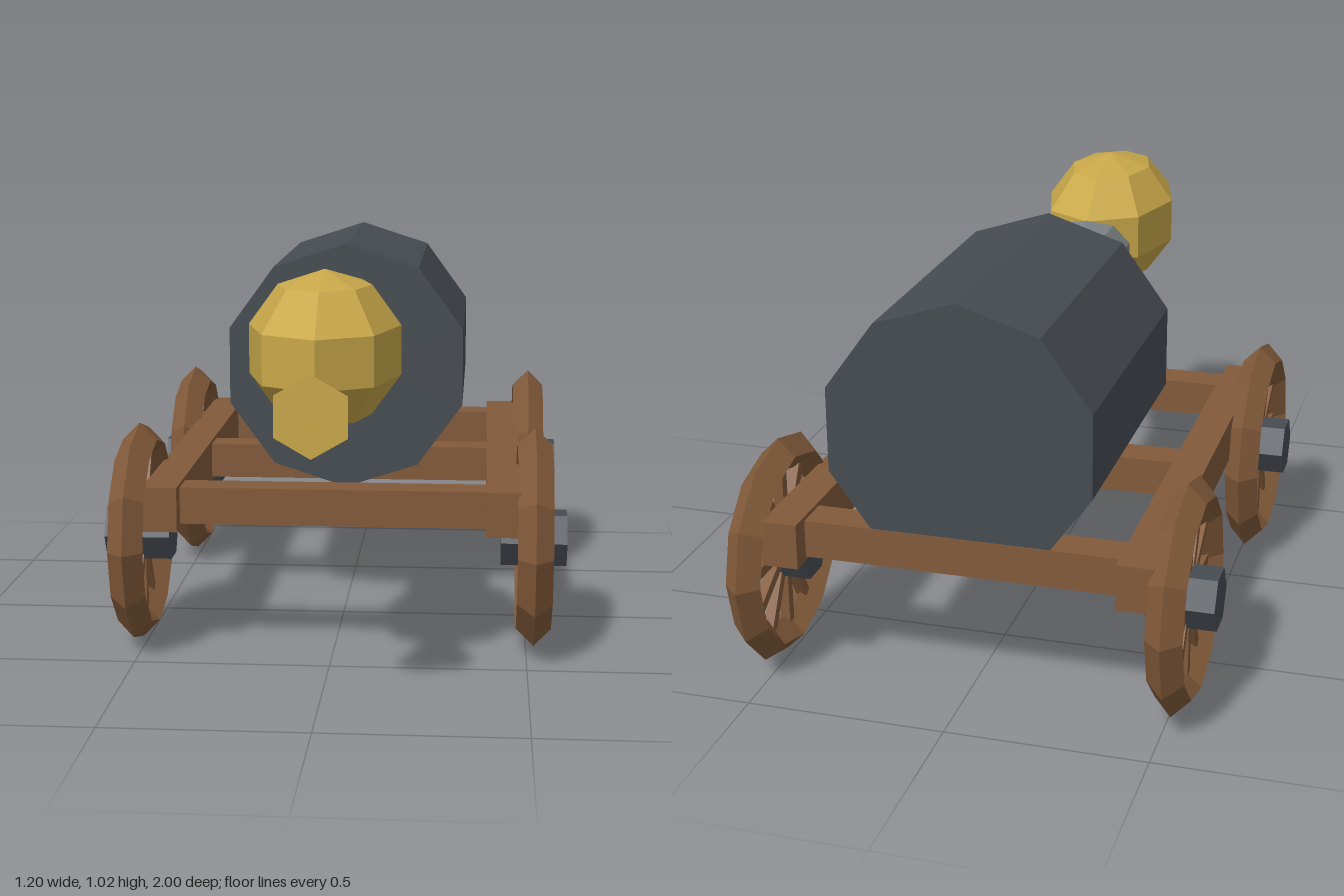
import * as THREE from 'three';

const wood = new THREE.MeshStandardMaterial({ color: 0x825a3a });
wood.name = 'brown wood';
const iron = new THREE.MeshStandardMaterial({ color: 0x464c52 });
iron.name = 'dark iron';
const steel = new THREE.MeshStandardMaterial({ color: 0x7f8488 });
steel.name = 'grey steel';
const brass = new THREE.MeshStandardMaterial({ color: 0xc9a84a });
brass.name = 'golden brass';

// Adds a faceted mesh
function part(parent, name, geometry, material, x = 0, y = 0, z = 0) {
  const flat = geometry.index ? geometry.toNonIndexed() : geometry;
  flat.computeVertexNormals();
  const mesh = new THREE.Mesh(flat, material);
  mesh.name = name;
  mesh.position.set(x, y, z);
  parent.add(mesh);
  return mesh;
}

// Tapered prism lying along z
function prismZ(rFront, rBack, zBack, zFront, sides) {
  return new THREE.CylinderGeometry(rFront, rBack, zFront - zBack, sides)
    .rotateX(Math.PI / 2)
    .translate(0, 0, (zFront + zBack) / 2);
}

function makeWheel() {
  const wheel = new THREE.Group();
  // Rim with a diamond cross-section
  part(wheel, 'rim', new THREE.TorusGeometry(0.245, 0.045, 4, 12).rotateY(Math.PI / 2), wood);
  // Spokes
  for (let i = 0; i < 12; i++) {
    const spoke = new THREE.BoxGeometry(0.026, 0.17, 0.026)
      .translate(0, 0.135, 0)
      .rotateX((i * Math.PI) / 6);
    part(wheel, 'spoke', spoke, wood);
  }
  // Hexagonal hub
  part(wheel, 'hub', new THREE.CylinderGeometry(0.077, 0.077, 0.17, 6).rotateZ(Math.PI / 2), iron);
  return wheel;
}

export function createModel() {
  const model = new THREE.Group();
  model.name = 'wheeledCannon';

  // Barrel, neck and head
  part(model, 'barrel', prismZ(0.34, 0.34, -0.855, -0.075, 10), iron, 0, 0.685, 0);
  part(model, 'neck', prismZ(0.115, 0.103, -0.1, 0.46, 10), steel, 0, 0.782, 0);
  part(model, 'head', new THREE.SphereGeometry(0.193, 8, 5).scale(1, 1, 1.55), brass, 0, 0.832, 0.61);
  part(model, 'nozzle', prismZ(0.096, 0.03, 0.8, 1.0, 6), brass, 0, 0.735, 0);

  // Frame: two side rails and three cross beams
  for (const side of [-1, 1]) {
    part(model, side > 0 ? 'leftRail' : 'rightRail',
      new THREE.BoxGeometry(0.09, 0.115, 1.37), wood, side * 0.437, 0.393, -0.225);
  }
  for (const z of [0.36, -0.225, -0.81]) {
    part(model, 'crossBeam', new THREE.BoxGeometry(0.84, 0.095, 0.094), wood, 0, 0.393, z);
  }

  // Four wheels
  for (const side of [-1, 1]) {
    for (const z of [0.27, -0.71]) {
      const wheel = makeWheel();
      wheel.name = (z > 0 ? 'front' : 'back') + (side > 0 ? 'Left' : 'Right') + 'Wheel';
      wheel.position.set(side * 0.517, 0.293, z);
      model.add(wheel);
    }
  }
  return model;
}
